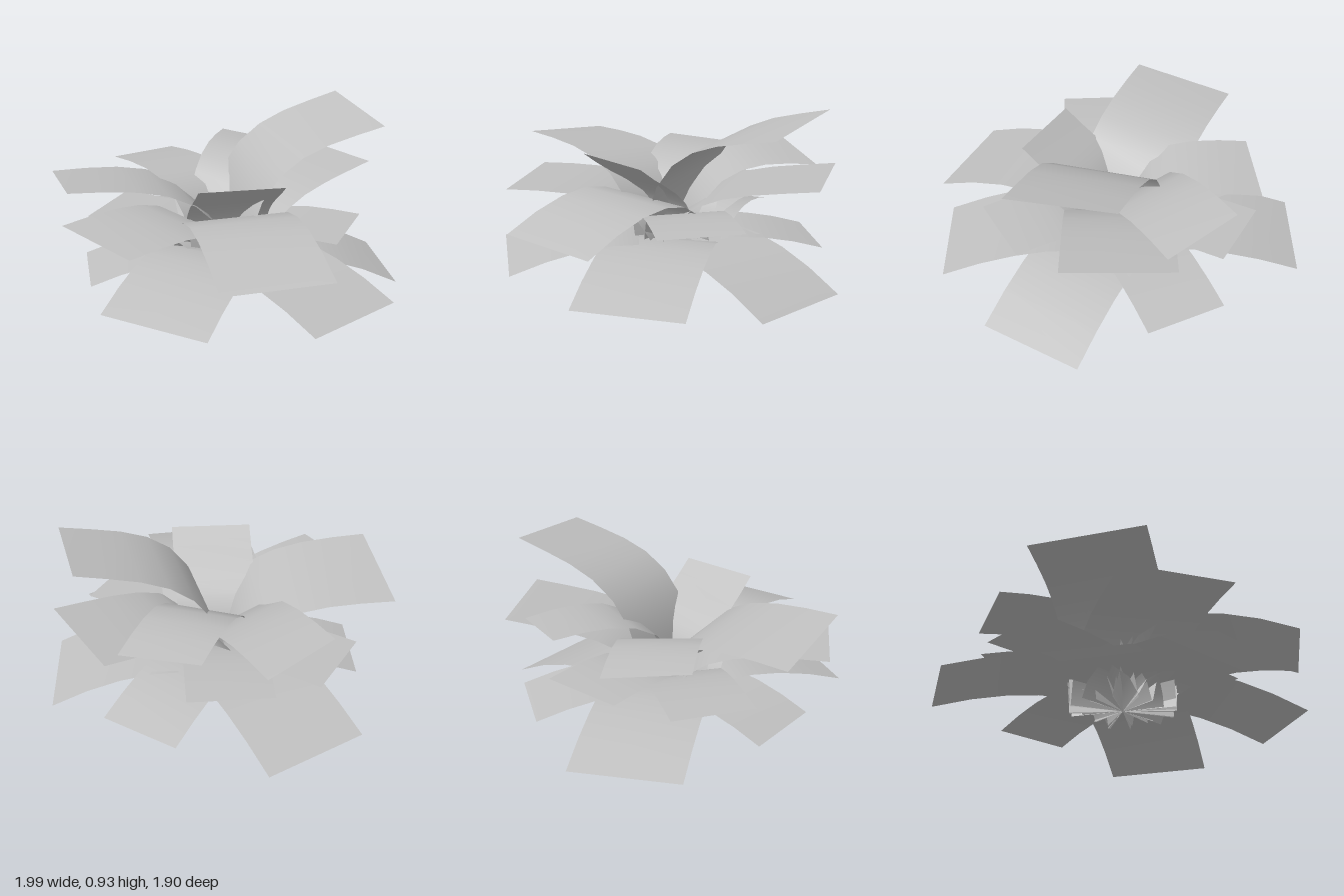
import * as THREE from 'three';

// Each leaf: heading in degrees (0 = +x, 90 = +z), reach, height a third of the way out,
// tip height, sideways roll at the tip, sideways drift of the tip.
const broadLeaves = [
  [-70.5, 0.813, 0.73, 0.91, 0.054, 0.027],
  [-88.5, 0.86, 0.465, 0.575, 0, 0],
  [-57.8, 0.937, 0.21, 0.01, -0.01, -0.023],
  [182.7, 0.99, 0.24, 0.12, 0, 0.039],
  [113.7, 0.882, 0.56, 0.635, 0.075, 0.074],
  [0, 0.973, 0.23, 0.09, 0, -0.04],
  [25.6, 0.955, 0.47, 0.36, 0, -0.017],
  [88.7, 0.862, 0.42, 0.455, 0, 0],
  [64, 0.917, 0.24, 0.12, -0.03, -0.024],
];
const smallLeaves = [
  [245.5, 0.81, 0.21, 0.12, 0, 0],
  [120.5, 0.755, 0.205, 0.1, 0, 0],
  [155, 0.74, 0.29, 0.32, 0, 0],
  [210, 0.74, 0.34, 0.378, 0, 0],
  [-27, 0.72, 0.37, 0.4, 0, 0],
  [235, 0.757, 0.57, 0.6, 0.06, 0.035],
  [176, 0.746, 0.52, 0.55, 0.04, 0.068],
  [31, 0.456, 0.465, 0.682, 0, -0.023],
];

// A flat strip bent upright at the root and arching out to the tip.
function leafGeometry(width, reach, shoulder, tip, roll, drift) {
  const root = 0.065;
  const crest = (shoulder - (root + tip) / 8) / 0.75;
  const rib = new THREE.CubicBezierCurve(
    new THREE.Vector2(0, root),
    new THREE.Vector2(0.04, crest),
    new THREE.Vector2(reach / 2, crest),
    new THREE.Vector2(reach, tip),
  );
  const geometry = new THREE.PlaneGeometry(1, width, 7, 1).rotateX(-Math.PI / 2);
  const pos = geometry.attributes.position;
  for (let i = 0; i < pos.count; i++) {
    const t = pos.getX(i) + 0.5;
    const z = pos.getZ(i);
    const p = rib.getPoint(t);
    pos.setXYZ(i, p.x, p.y - (roll * t * z) / width, z + drift * t);
  }
  geometry.computeVertexNormals();
  return geometry;
}

export function createModel() {
  const leafGrey = new THREE.MeshStandardMaterial({ color: 0xc0c0c0, side: THREE.DoubleSide });
  leafGrey.name = 'leafGrey';

  const plant = new THREE.Group();
  plant.name = 'plant';
  const addRing = (name, width, leaves) => {
    const ring = new THREE.Group();
    ring.name = name + 'Ring';
    leaves.forEach(([heading, ...shape], i) => {
      const leaf = new THREE.Mesh(leafGeometry(width, ...shape), leafGrey);
      leaf.name = name + (i + 1);
      leaf.rotation.y = -THREE.MathUtils.degToRad(heading);
      ring.add(leaf);
    });
    plant.add(ring);
  };
  addRing('broadLeaf', 0.58, broadLeaves);
  addRing('smallLeaf', 0.45, smallLeaves);
  return plant;
}
